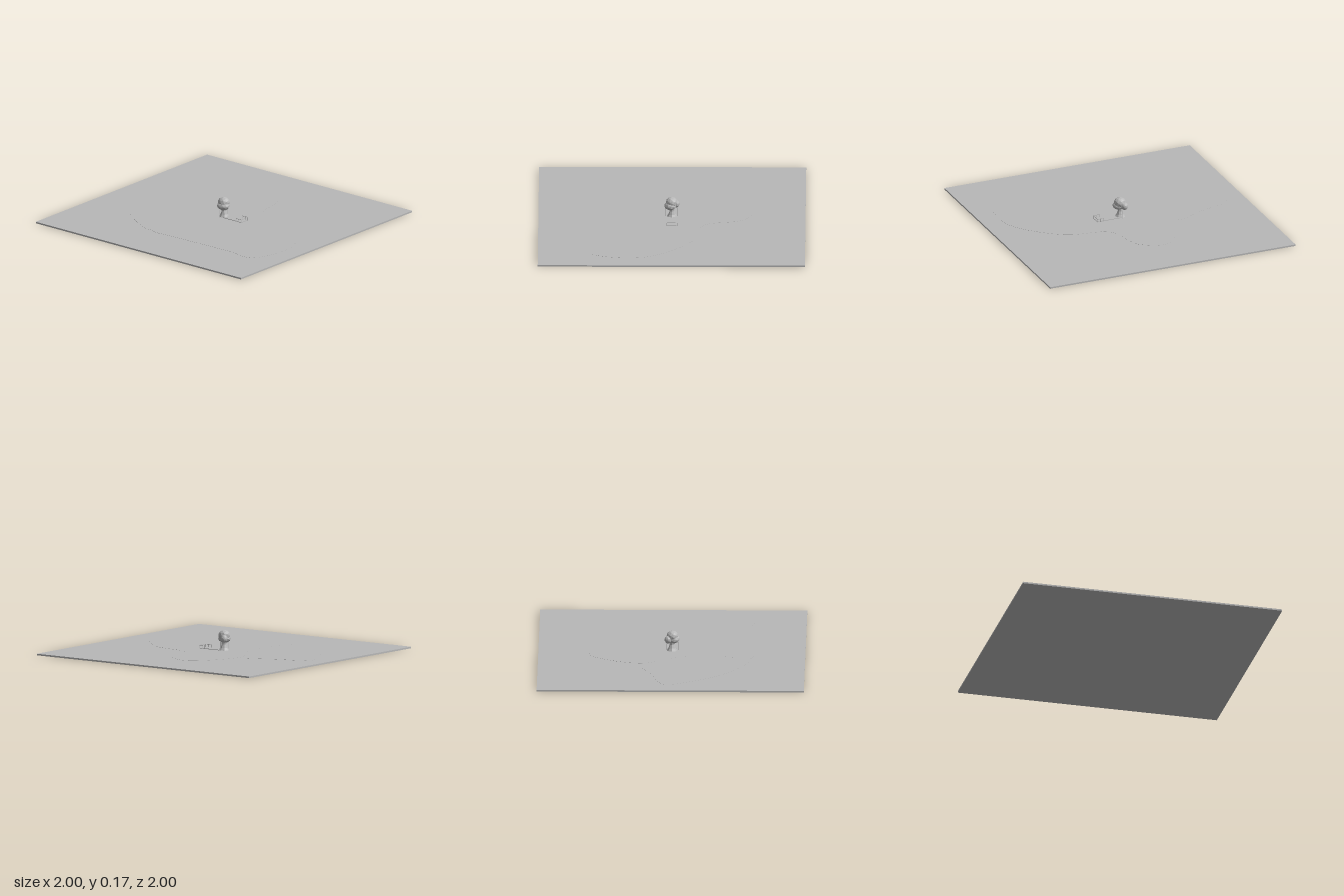
import * as THREE from 'three';

export function createModel() {
  const model = new THREE.Group();
  const stone = new THREE.MeshStandardMaterial({ color: 0xb8b8b8, flatShading: true });
  stone.name = 'plain grey';
  const add = (name, geometry, x, y, z) => {
    const mesh = new THREE.Mesh(geometry, stone);
    mesh.name = name;
    mesh.position.set(x, y, z);
    model.add(mesh);
    return mesh;
  };
  const box = (name, w, h, d, x, y, z) => add(name, new THREE.BoxGeometry(w, h, d), x, y, z);

  // Square ground slab
  box('groundSlab', 2, 0.012, 2, 0, 0.006, 0);

  // Very low, curved patches of ground
  const patch = (name, points, height) => {
    const curve = new THREE.CatmullRomCurve3(points.map(([x, z]) => new THREE.Vector3(x, -z, 0)), true);
    const shape = new THREE.Shape(curve.getPoints(60).map((p) => new THREE.Vector2(p.x, p.y)));
    const geometry = new THREE.ExtrudeGeometry(shape, { depth: height, bevelEnabled: false });
    add(name, geometry.rotateX(-Math.PI / 2), 0, 0.012, 0);
  };
  patch('frontPatch', [
    [-0.59, -0.21], [-0.41, -0.16], [-0.07, -0.17], [0.23, -0.33], [0.61, -0.13], [0.53, 0.08],
    [0.24, 0.18], [0.15, 0.52], [-0.21, 0.84], [-0.6, 0.77], [-0.59, 0.56], [-0.6, 0.07],
  ], 0.001);
  patch('backPatch', [
    [-0.59, -0.21], [-0.42, -0.56], [-0.15, -0.78], [0.05, -0.85], [0.15, -0.6], [0.23, -0.35], [-0.07, -0.17], [-0.41, -0.16],
  ], 0.0008);

  // Flared trunk
  const trunkProfile = [[0.04, 0], [0.027, 0.02], [0.017, 0.045], [0.017, 0.085]];
  add('trunk', new THREE.LatheGeometry(trunkProfile.map(([r, y]) => new THREE.Vector2(r, y)), 8), 0, 0.012, 0);

  // Faceted foliage
  const foliage = (name, x, y, z, rx, ry, rz, turn) => {
    const geometry = new THREE.IcosahedronGeometry(1, 1).rotateY(turn).scale(rx, ry, rz);
    add(name, geometry, x, y, z);
  };
  foliage('crown', -0.003, 0.125, 0, 0.044, 0.041, 0.046, 0.2);
  foliage('lowerLeaves', -0.012, 0.1, 0.004, 0.046, 0.033, 0.05, 0.7);
  foliage('sideLeaves', 0.029, 0.103, -0.024, 0.027, 0.03, 0.027, 1.1);

  // Slim posts under the foliage
  for (const x of [-0.05, 0.043]) box('post', 0.003, 0.066, 0.003, x, 0.045, 0);

  // Low walkway with a railing round its far end
  box('walkway', 0.07, 0.004, 0.18, 0, 0.015, 0.11);
  for (const x of [-0.039, 0.039]) {
    box('sideRail', 0.003, 0.003, 0.056, x, 0.038, 0.174);
    for (const z of [0.15, 0.176, 0.2]) box('railPost', 0.003, 0.027, 0.003, x, 0.0255, z);
  }
  box('endRail', 0.081, 0.003, 0.003, 0, 0.038, 0.2);

  return model;
}
